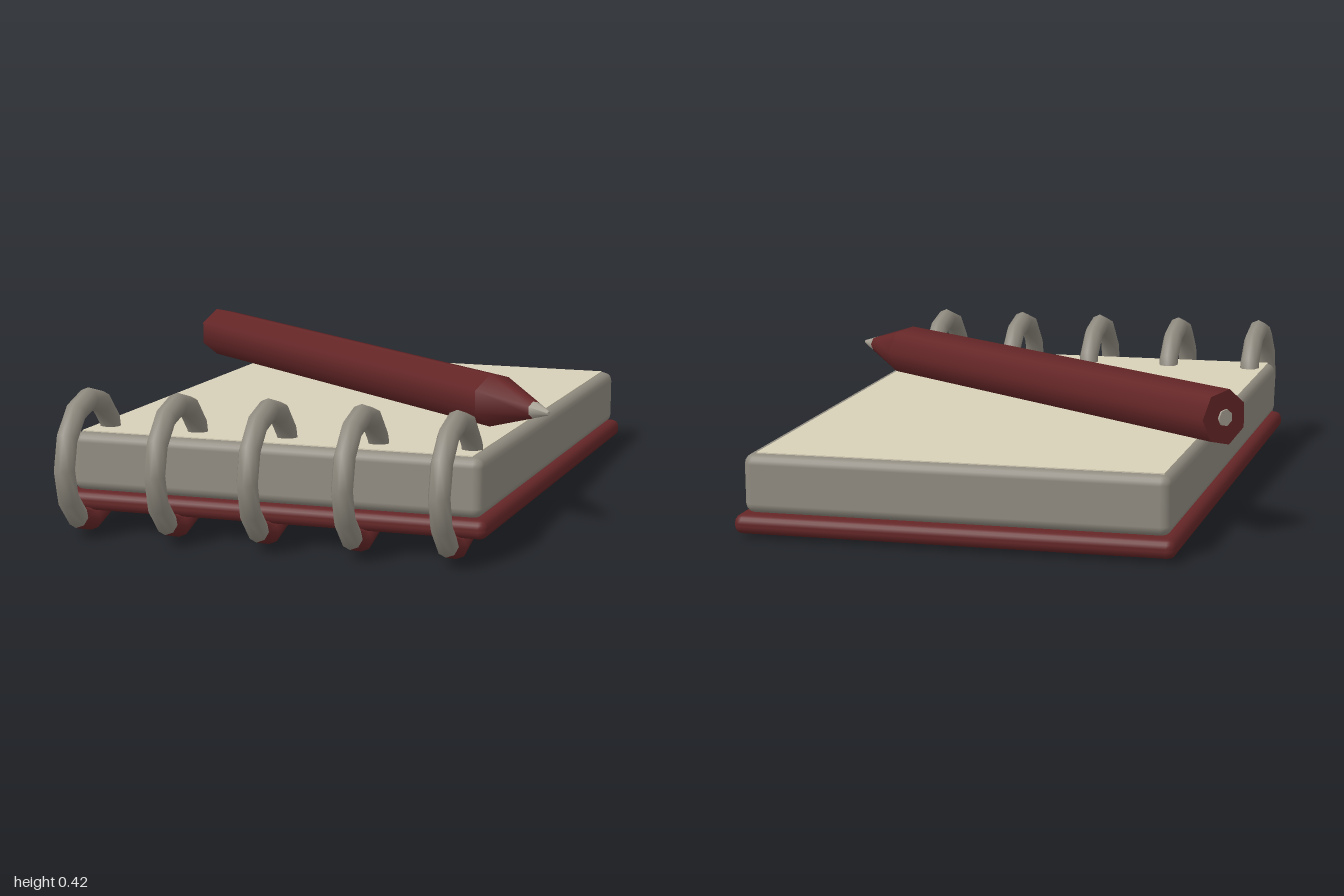
import * as THREE from 'three';
import { RoundedBoxGeometry } from 'three/addons/geometries/RoundedBoxGeometry.js';

const flatColour = (name, color, side = THREE.FrontSide) => {
  const m = new THREE.MeshStandardMaterial({ color, side });
  m.name = name;
  return m;
};

function add(parent, name, geometry, material, x = 0, y = 0, z = 0) {
  const mesh = new THREE.Mesh(geometry, material);
  mesh.name = name;
  mesh.position.set(x, y, z);
  parent.add(mesh);
  return mesh;
}

export function createModel() {
  const red = flatColour('dark red', 0x652627);
  const paper = flatColour('cream paper', 0xd8d0b8);
  const grey = flatColour('warm grey', 0x908b80);
  const tipGrey = flatColour('pale grey', 0xa8a295);
  const model = new THREE.Group();
  model.name = 'notepadAndPencil';

  // Notepad, turned slightly and raised a little at the ring end
  const TURN = 0.047;
  const pad = new THREE.Group();
  pad.name = 'notepad';
  pad.position.set(0.015, 0.062, -0.085);
  pad.rotation.set(-0.027, TURN, 0, 'YXZ');
  model.add(pad);
  add(pad, 'backCover', new RoundedBoxGeometry(1.25, 0.055, 1.77, 2, 0.024), red);
  add(pad, 'pageBlock', new RoundedBoxGeometry(1.21, 0.168, 1.71, 2, 0.028), grey, 0, 0.109, 0.005);
  add(pad, 'topPage', new THREE.BoxGeometry(1.155, 0.006, 1.655), paper, -0.006, 0.193, 0.005);

  // Binding rings: a grey arc, with a red stretch passing under the cover
  const arc = (start, sweep, segments) =>
    new THREE.TorusGeometry(0.166, 0.031, 8, segments, sweep).rotateZ(start);
  const deg = Math.PI / 180;
  const upperArc = arc(-60 * deg, 270 * deg, 9);
  const lowerArc = arc(210 * deg, 90 * deg, 3);
  for (let i = 0; i < 5; i++) {
    const ring = new THREE.Group();
    ring.name = 'bindingRing' + (i + 1);
    ring.position.set(-0.485 + 0.27 * i, 0.208, 0.813 - 0.0125 * i);
    ring.rotation.y = -Math.PI / 2 + TURN * 0.7;
    ring.scale.y = 1.05;
    add(ring, 'ringUpperArc', upperArc, grey);
    add(ring, 'ringLowerArc', lowerArc, red);
    model.add(ring);
  }

  // Seven-sided pencil lying diagonally across the pages
  const pencil = new THREE.Group();
  pencil.name = 'pencil';
  const along = new THREE.Vector3(0.817, 0, 0.577).normalize();
  const across = new THREE.Vector3(along.z, 0, -along.x);
  const third = new THREE.Vector3().crossVectors(along, across);
  pencil.quaternion.setFromRotationMatrix(new THREE.Matrix4().makeBasis(third, along, across));
  pencil.position.set(-0.709, 0.348, -0.632);
  model.add(pencil);
  const section = (name, from, to, r0, r1, material, open = true) =>
    add(pencil, name, new THREE.CylinderGeometry(r1, r0, to - from, 7, 1, open), material, 0, (from + to) / 2, 0);
  section('pencilBody', 0, 1.53, 0.079, 0.079, red, false);
  section('pencilCone', 1.53, 1.715, 0.079, 0.025, red);
  section('pencilPoint', 1.715, 1.78, 0.025, 0.006, tipGrey, false);
  section('pencilEndCore', -0.006, 0.002, 0.024, 0.024, tipGrey, false);

  return model;
}
